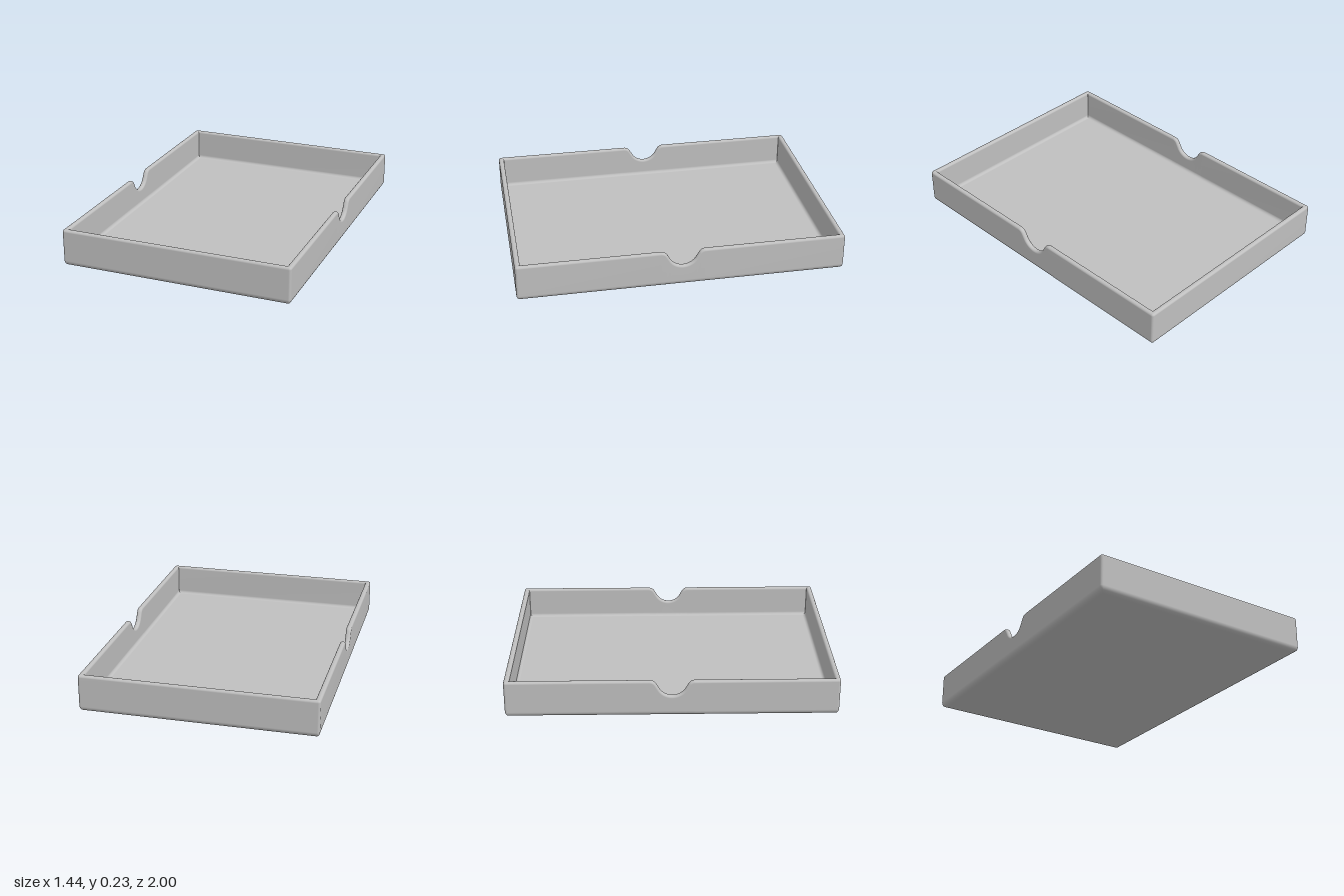
import * as THREE from 'three';

const HX = 0.72, HZ = 1, TOP = 0.233;   // half width, half length, height
const WALL = 0.033, FLOOR = 0.032;      // thicknesses
const BASE_R = 0.035, RIM_R = 0.014, FLOOR_R = 0.02, CORNER_R = 0.015;

// Calls f with angles from a to b in n steps
function sweep(a, b, n, f) {
  const out = [];
  for (let i = 0; i <= n; i++) out.push(f(a + (b - a) * i / n));
  return out;
}

// Wall cross-section from the underside, over the rim, to the floor.
// Rim points carry drop (distance below the rim line) instead of y.
function wallProfile() {
  const { sin, cos } = Math, Q = Math.PI / 2;
  return [
    ...sweep(0, Q, 8, a => ({ inset: BASE_R * (1 - sin(a)), y: BASE_R * (1 - cos(a)) })),
    ...sweep(0, Q, 6, a => ({ inset: RIM_R * (1 - cos(a)), drop: RIM_R * (1 - sin(a)) })),
    ...sweep(Q, 0, 6, a => ({ inset: WALL - RIM_R * (1 - cos(a)), drop: RIM_R * (1 - sin(a)) })),
    ...sweep(0, Q, 6, a => ({ inset: WALL + FLOOR_R * (1 - cos(a)), y: FLOOR + FLOOR_R * (1 - sin(a)) })),
  ];
}

// Finger notch in the rim line: round bottom, straight flanks, rounded shoulders
function notchLine() {
  const { sin, cos } = Math, slope = Math.PI / 3;
  const bottom = 0.134, r1 = 0.09, r2 = 0.045, end = 0.135;
  const half = [
    ...sweep(0, slope, 10, a => ({ z: r1 * sin(a), y: bottom + r1 * (1 - cos(a)), nz: -sin(a), ny: cos(a) })),
    ...sweep(slope, 0, 8, a => ({ z: end - r2 * sin(a), y: TOP - r2 * (1 - cos(a)), nz: -sin(a), ny: cos(a) })),
  ];
  const mirrored = half.slice(1).reverse().map(p => ({ ...p, z: -p.z, nz: -p.nz }));
  return [...mirrored, ...half];
}

// Columns around the tray, each a function placing a profile point
function trayColumns() {
  const corner = (sx, sz, start) => sweep(start, start + Math.PI / 2, 5, a => p => {
    const r = Math.max(CORNER_R - p.inset, 0.003);
    return [
      sx * (HX - p.inset - r) + r * Math.cos(a),
      p.drop === undefined ? p.y : TOP - p.drop,
      sz * (HZ - p.inset - r) + r * Math.sin(a),
    ];
  });
  const side = (sx, line) => line.map(c => p => {
    const x = sx * (HX - p.inset);
    return p.drop === undefined ? [x, p.y, c.z] : [x, c.y - c.ny * p.drop, c.z - c.nz * p.drop];
  });
  const notch = notchLine();
  return [
    ...corner(1, 1, 0), ...corner(-1, 1, Math.PI / 2),
    ...side(-1, [...notch].reverse()),
    ...corner(-1, -1, Math.PI), ...corner(1, -1, Math.PI * 1.5),
    ...side(1, notch),
  ];
}

function trayGeometry() {
  const profile = wallProfile(), columns = trayColumns();
  const n = columns.length, m = profile.length;
  const positions = [], index = [];
  for (const p of profile) for (const place of columns) positions.push(...place(p));
  positions.push(0, 0, 0, 0, FLOOR, 0);
  const under = n * m, floor = under + 1, last = (m - 1) * n;
  for (let j = 0; j < n; j++) {
    const k = (j + 1) % n;
    // walls
    for (let i = 0; i < m - 1; i++) {
      const a = i * n + j, b = i * n + k, c = a + n, d = b + n;
      index.push(a, c, b, b, c, d);
    }
    // underside and floor
    index.push(under, j, k, floor, last + k, last + j);
  }
  const geometry = new THREE.BufferGeometry();
  geometry.setAttribute('position', new THREE.Float32BufferAttribute(positions, 3));
  geometry.setIndex(index);
  geometry.computeVertexNormals();
  return geometry;
}

export function createModel() {
  const group = new THREE.Group();
  group.name = 'notchedTray';
  const grey = new THREE.MeshStandardMaterial({ color: 0xbfbfbf });
  grey.name = 'light grey';
  const tray = new THREE.Mesh(trayGeometry(), grey);
  tray.name = 'tray';
  group.add(tray);
  return group;
}
